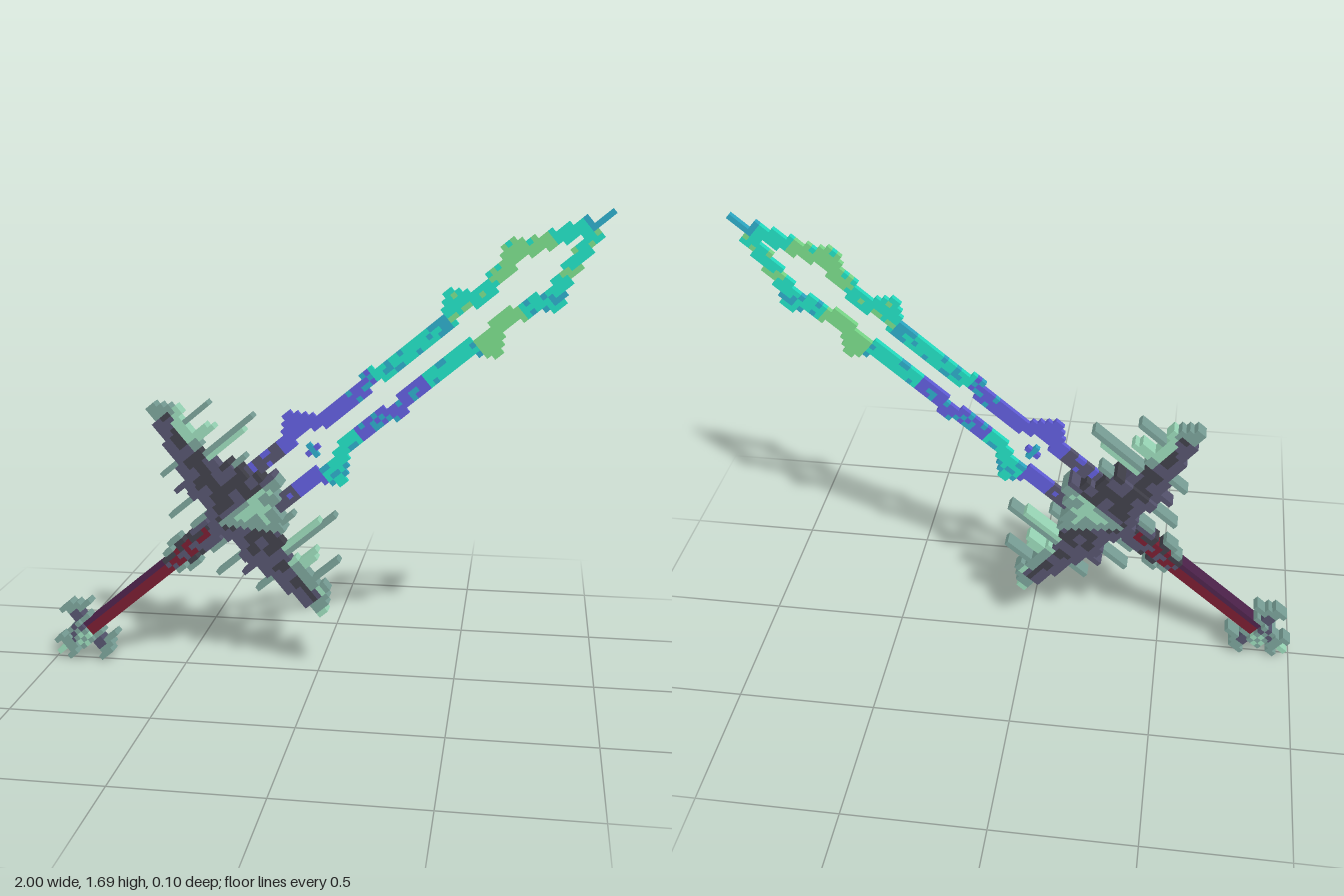
import * as THREE from 'three';
import { mergeGeometries } from 'three/addons/utils/BufferGeometryUtils.js';

const S = 0.0193; // block size

const PALETTE = {
  teal: 0x22dcc0, green: 0x78d888, violet: 0x605cd8, blue: 0x2ca8c4,
  charcoal: 0x3f3f48, slate: 0x54526c, sage: 0x789f96, mint: 0x98d6b6,
  red: 0x761c30, plum: 0x4c224a,
};

// Repeatable pseudo-random value per block
const hash = (u, v) => {
  const n = Math.sin(u * 12.99 + v * 78.23) * 43758.55;
  return n - Math.floor(n);
};

// A part is a map of blocks: u runs along the sword, v across it
function makePart() {
  const cells = new Map();
  const fill = (u0, u1, v0, v1, depth, colour) => {
    for (let u = u0; u <= u1; u++)
      for (let v = v0; v <= v1; v++)
        cells.set(u + ',' + v, { u, v, depth, colour: typeof colour === 'function' ? colour(u, v) : colour });
  };
  const mirrored = (u0, u1, v0, v1, depth, colour) => {
    fill(u0, u1, v0, v1, depth, colour);
    fill(u0, u1, -v1, -v0, depth, colour);
  };
  return { cells, fill, mirrored };
}

function buildPart(name, part, materials) {
  const group = new THREE.Group();
  group.name = name;
  const byColour = {};
  for (const { u, v, depth, colour } of part.cells.values()) {
    const box = new THREE.BoxGeometry(S, S, S * depth);
    box.translate(u * S, v * S, 0);
    (byColour[colour] ??= []).push(box);
  }
  for (const [colour, boxes] of Object.entries(byColour)) {
    const mesh = new THREE.Mesh(mergeGeometries(boxes), materials[colour]);
    mesh.name = name + ' ' + colour;
    group.add(mesh);
  }
  return group;
}

// Two thin, barbed strands joining at the point
function blade() {
  const p = makePart();
  // first u, last u, inner v, outer v
  const spans = [
    [4, 14, 3, 5], [15, 15, 3, 6], [16, 16, 4, 7], [17, 18, 4, 8], [19, 19, 4, 7], [20, 20, 3, 6], [21, 21, 3, 5],
    [22, 32, 2, 4], [33, 35, 3, 5], [36, 51, 2, 4], [52, 52, 2, 5], [53, 53, 3, 6], [54, 55, 3, 7],
    [56, 56, 3, 6], [57, 57, 2, 5], [58, 61, 2, 4], [62, 65, 3, 5], [66, 66, 3, 6], [67, 69, 4, 7],
    [70, 70, 3, 6], [71, 72, 3, 5], [73, 75, 2, 4], [76, 78, 1, 3], [79, 81, 0, 2], [82, 85, 0, 0],
  ];
  // last u of each colour band, its colour and a fleck colour
  const upper = [[12, 'slate', 'violet'], [28, 'violet', 'violet'], [34, 'violet', 'blue'], [47, 'teal', 'blue'],
    [51, 'blue', 'teal'], [61, 'teal', 'green'], [74, 'green', 'teal'], [80, 'teal', 'green'], [99, 'blue', 'blue']];
  const lower = [[9, 'slate', 'violet'], [15, 'violet', 'violet'], [25, 'teal', 'blue'], [41, 'violet', 'blue'],
    [52, 'teal', 'blue'], [62, 'green', 'green'], [70, 'teal', 'blue'], [74, 'green', 'teal'], [81, 'teal', 'green'], [99, 'blue', 'blue']];
  const colour = (u, v) => {
    const band = (v >= 0 ? upper : lower).find(b => u <= b[0]);
    return hash(u, v) < 0.17 ? band[2] : band[1];
  };
  for (const [u0, u1, v0, v1] of spans) p.mirrored(u0, u1, v0, v1, 1, colour);
  // Floating cross between the strands
  p.fill(16, 18, 0, 0, 1, 'violet');
  p.fill(17, 17, -1, 1, 1, 'blue');
  return p;
}

// Winged crossguard with spikes
function guard() {
  const p = makePart();
  // first v, last v, back u, front u
  const rows = [
    [0, 1, -7, 8], [2, 3, -6, 6], [4, 6, -5, 4], [7, 8, -6, 3], [9, 10, -6, 1], [11, 13, -5, 0], [14, 16, -4, 1],
    [17, 18, -4, 1], [19, 20, -3, 1], [21, 22, -3, 2], [23, 23, -2, 1], [24, 24, -2, 0], [25, 25, -2, -1],
  ];
  for (const [v0, v1, u0, u1] of rows) {
    const colour = (u, v) => {
      const a = Math.abs(v);
      const h = hash(Math.floor(u / 2), Math.floor(v / 2));
      // Pale facet on one side of the boss
      if (v <= 0 && v >= -8 && u + v >= -5) return u + v <= -4 || u >= u1 - 1 || h < 0.35 ? 'sage' : 'mint';
      if (a >= 14 && u >= u1 - 1) return h < 0.4 ? 'mint' : 'sage';
      if (a >= 23) return 'sage';
      return u <= u0 + 1 || h < 0.35 ? 'slate' : 'charcoal';
    };
    p.mirrored(u0, u1, v0, v1, v1 <= 8 ? 5 : 3, colour);
  }
  // Spikes: v, first u, last u, colour
  const spikes = [[12, 1, 12, 'sage'], [11, 1, 9, 'mint'], [19, 2, 7, 'sage'], [16, 2, 4, 'mint'], [15, 2, 5, 'mint'],
    [7, 4, 6, 'sage'], [3, -10, -7, 'sage'], [7, -12, -7, 'sage'], [14, -8, -5, 'sage'], [10, -8, -7, 'slate']];
  for (const [v, u0, u1, colour] of spikes) p.mirrored(u0, u1, v, v, 3, colour);
  return p;
}

// Wrapped grip with a studded ferrule near the guard
function handle() {
  const p = makePart();
  p.fill(-40, -8, -1, 1, 3, (u, v) => (v === 1 ? 'plum' : 'red'));
  p.fill(-19, -8, -1, 1, 3, (u, v) => (hash(u, v) < 0.45 ? 'red' : v > 0 ? 'charcoal' : 'slate'));
  for (const u of [-18, -15, -12, -9]) p.mirrored(u, u + 1, 2, 2, 3, 'charcoal');
  p.mirrored(-18, -17, 2, 2, 3, 'sage');
  p.mirrored(-16, -14, 3, 3, 3, 'sage');
  p.mirrored(-11, -8, 2, 2, 3, 'slate');
  return p;
}

// Small pronged pommel
function pommel() {
  const p = makePart();
  p.fill(-43, -41, -2, 2, 5, (u, v) => ((u + v) % 2 ? 'sage' : v > 0 ? 'slate' : 'mint'));
  p.mirrored(-40, -39, 2, 2, 3, 'sage');
  p.mirrored(-41, -40, 3, 4, 3, 'slate');
  p.mirrored(-41, -39, 5, 5, 3, 'sage');
  p.mirrored(-42, -40, 6, 6, 3, 'sage');
  p.mirrored(-39, -37, 4, 4, 3, 'sage');
  p.fill(-46, -44, 0, 0, 3, 'slate');
  p.fill(-46, -45, -1, 1, 3, 'sage');
  p.mirrored(-47, -46, 2, 2, 3, 'sage');
  p.fill(-48, -47, 0, 0, 3, 'mint');
  return p;
}

export function createModel() {
  const materials = {};
  for (const [name, color] of Object.entries(PALETTE)) {
    materials[name] = new THREE.MeshStandardMaterial({ color });
    materials[name].name = name;
  }
  const sword = new THREE.Group();
  sword.name = 'sword';
  for (const [name, make] of Object.entries({ blade, guard, handle, pommel }))
    sword.add(buildPart(name, make(), materials));
  sword.rotation.z = THREE.MathUtils.degToRad(40);

  // Stand on the ground and centre
  const model = new THREE.Group();
  model.name = 'block sword';
  model.add(sword);
  model.updateMatrixWorld(true);
  const box = new THREE.Box3().setFromObject(model, true);
  const c = box.getCenter(new THREE.Vector3());
  sword.position.set(-c.x, -box.min.y, -c.z);
  return model;
}
